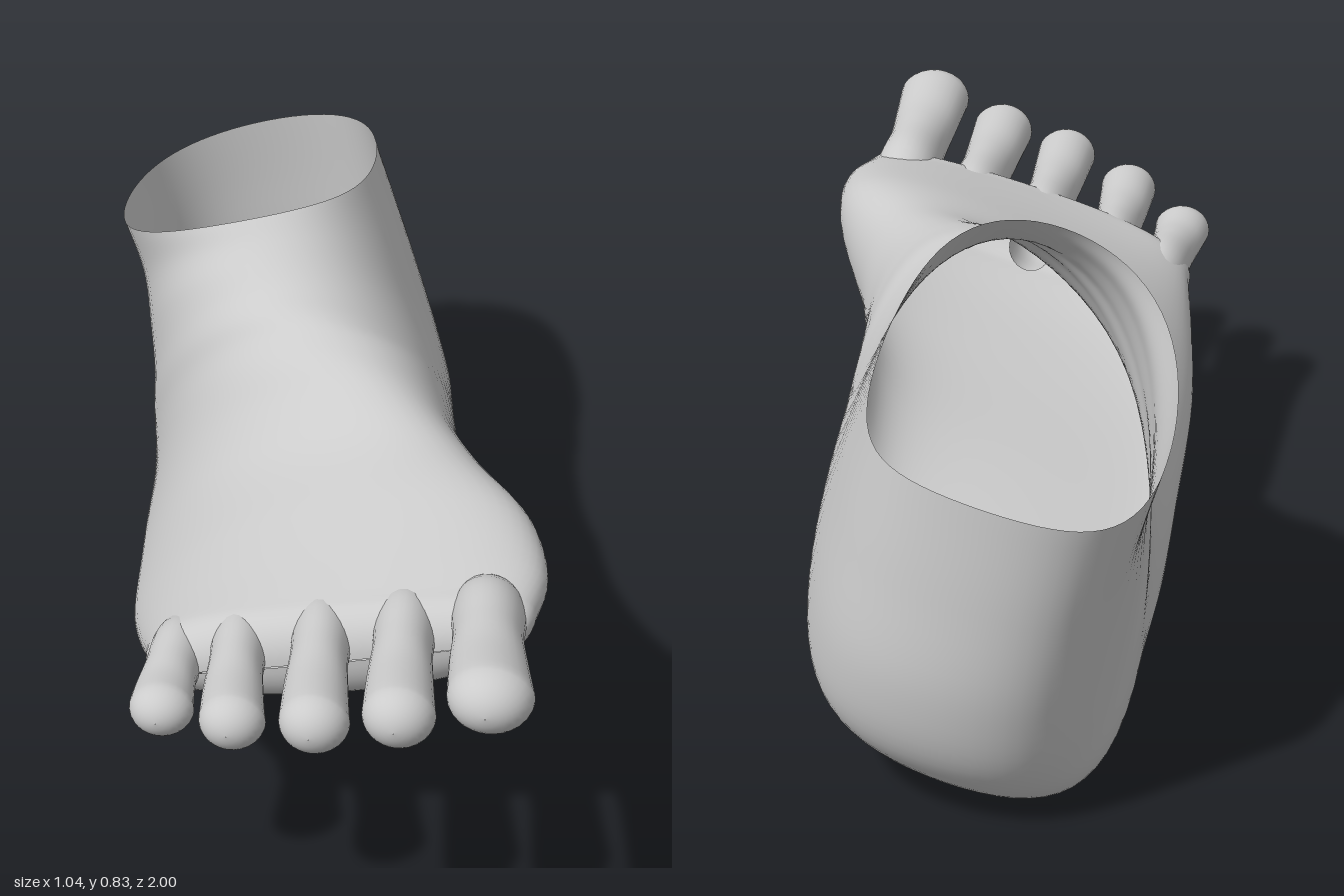
import * as THREE from 'three';

const V = (x, y, z) => new THREE.Vector3(x, y, z);
const guide = (pts) => new THREE.CatmullRomCurve3(pts.map((p) => V(...p)));

// Guide curves from the ankle rim, around the heel, to the base of the toes
const topLine = guide([
  [-.2, .808, -.21], [-.17, .78, -.18], [-.14, .75, -.14], [-.11, .727, -.1], [-.08, .71, -.05], [-.05, .695, -.01],
  [-.02, .675, .05], [.03, .645, .12], [.09, .615, .22], [.16, .6, .37], [.18, .57, .52], [.17, .545, .62]]);
const soleLine = guide([
  [-.3, .635, -.99], [-.27, .45, -1], [-.24, .27, -1], [-.22, .13, -.96], [-.21, .05, -.88], [-.2, .02, -.76],
  [-.18, .07, -.55], [-.15, .14, -.3], [-.09, .21, 0], [0, .268, .3], [.08, .315, .5], [.13, .352, .62]]);
const outerLine = guide([
  [-.52, .61, -.62], [-.475, .48, -.6], [-.45, .36, -.55], [-.435, .27, -.5], [-.43, .22, -.45], [-.415, .195, -.38],
  [-.395, .195, -.28], [-.37, .21, -.12], [-.335, .245, .06], [-.285, .3, .33], [-.24, .35, .5], [-.205, .39, .61]]);
const innerLine = guide([
  [-.02, .74, -.66], [.045, .59, -.63], [.11, .44, -.58], [.155, .35, -.51], [.175, .325, -.43], [.19, .33, -.34],
  [.21, .35, -.22], [.24, .385, -.05], [.305, .43, .13], [.425, .475, .35], [.475, .505, .5], [.475, .525, .61]]);

// Smooth closed ring through a top, inner, sole and outer point; k squares it slightly
function ring(t, r, b, l, sides, k) {
  const mid = t.clone().add(r).add(b).add(l).multiplyScalar(.25);
  const up = t.clone().sub(b).multiplyScalar(.5);
  const side = r.clone().sub(l).multiplyScalar(.5);
  const skew = t.clone().add(b).sub(r).sub(l).multiplyScalar(.25);
  return Array.from({ length: sides }, (_, i) => {
    const a = (i / sides) * Math.PI * 2;
    return mid.clone()
      .addScaledVector(up, (1 + k) * Math.cos(a) - k * Math.cos(3 * a))
      .addScaledVector(side, (1 + k) * Math.sin(a) + k * Math.sin(3 * a))
      .addScaledVector(skew, Math.cos(2 * a));
  });
}

// Surface joining successive rings
function skin(rings, material, name) {
  const n = rings[0].length, index = [];
  for (let i = 0; i < rings.length - 1; i++) {
    for (let j = 0; j < n; j++) {
      const a = i * n + j, a1 = i * n + (j + 1) % n;
      index.push(a, a + n, a1, a1, a + n, a1 + n);
    }
  }
  const geometry = new THREE.BufferGeometry().setFromPoints(rings.flat());
  geometry.setIndex(index);
  geometry.computeVertexNormals();
  const mesh = new THREE.Mesh(geometry, material);
  mesh.name = name;
  return mesh;
}

function footBody(material) {
  const rings = [], steps = 66;
  for (let i = 0; i <= steps; i++) {
    const [t, r, b, l] = [topLine, innerLine, soleLine, outerLine].map((c) => c.getPoint(i / steps));
    rings.push(ring(t, r, b, l, 72, .035));
  }
  // Rounded front edge between the toes
  const last = rings[steps];
  const mid = last.reduce((s, p) => s.add(p), V(0, 0, 0)).divideScalar(last.length);
  for (let k = 1; k <= 10; k++) {
    const a = (k / 10) * Math.PI / 2, s = Math.max(Math.cos(a), .01);
    rings.push(last.map((p) => {
      const dx = p.x - mid.x, tilt = dx * .2;
      return V(mid.x + dx * (.86 + .14 * s), mid.y + tilt + (p.y - mid.y - tilt) * s, p.z + .07 * Math.sin(a));
    }));
  }
  return skin(rings, material, 'footAndAnkle');
}

// Toe widths and heights from buried root, over the knuckle and neck, to the pad
const toeWidth = guide([[.7, 0, 0], [.9, 0, 0], [.84, 0, 0], [.92, 0, 0], [1, 0, 0]]);
const toeHeight = guide([[.85, 0, 0], [1.3, 0, 0], [1.08, 0, 0], [.92, 0, 0], [1, 0, 0]]);

function toe(root, tip, rx, ry, material, name) {
  const path = new THREE.QuadraticBezierCurve3(
    V(...root), V((root[0] + tip[0]) / 2 - .01, (root[1] + tip[1]) / 2 + .012, .72), V(...tip));
  const rings = [];
  const add = (c, w, h) => rings.push(
    ring(V(c.x, c.y + h, c.z), V(c.x + w, c.y, c.z), V(c.x, c.y - h, c.z), V(c.x - w, c.y, c.z), 28, 0));
  for (let i = 0; i <= 20; i++) {
    const u = i / 20;
    add(path.getPoint(u), rx * toeWidth.getPoint(u).x, ry * toeHeight.getPoint(u).x);
  }
  for (let k = 1; k <= 10; k++) {
    const a = (k / 10) * Math.PI / 2, s = Math.max(Math.cos(a), .01);
    add(V(tip[0], tip[1], tip[2] + rx * .95 * Math.sin(a)), rx * s, ry * s);
  }
  return skin(rings, material, name);
}

export function createModel() {
  const model = new THREE.Group();
  model.name = 'foot';
  const material = new THREE.MeshStandardMaterial({ color: 0xcccccc, side: THREE.DoubleSide });
  model.add(footBody(material));
  const toes = [
    ['littleToe', [-.145, .38, .52], [-.135, .408, .81], .056, .048],
    ['fourthToe', [-.045, .41, .52], [.003, .452, .885], .057, .051],
    ['middleToe', [.1, .445, .52], [.15, .495, .925], .06, .054],
    ['secondToe', [.245, .475, .52], [.292, .53, .93], .062, .056],
    ['bigToe', [.385, .505, .52], [.443, .585, .93], .073, .06],
  ];
  for (const [name, root, tip, rx, ry] of toes) model.add(toe(root, tip, rx, ry, material, name));
  return model;
}
